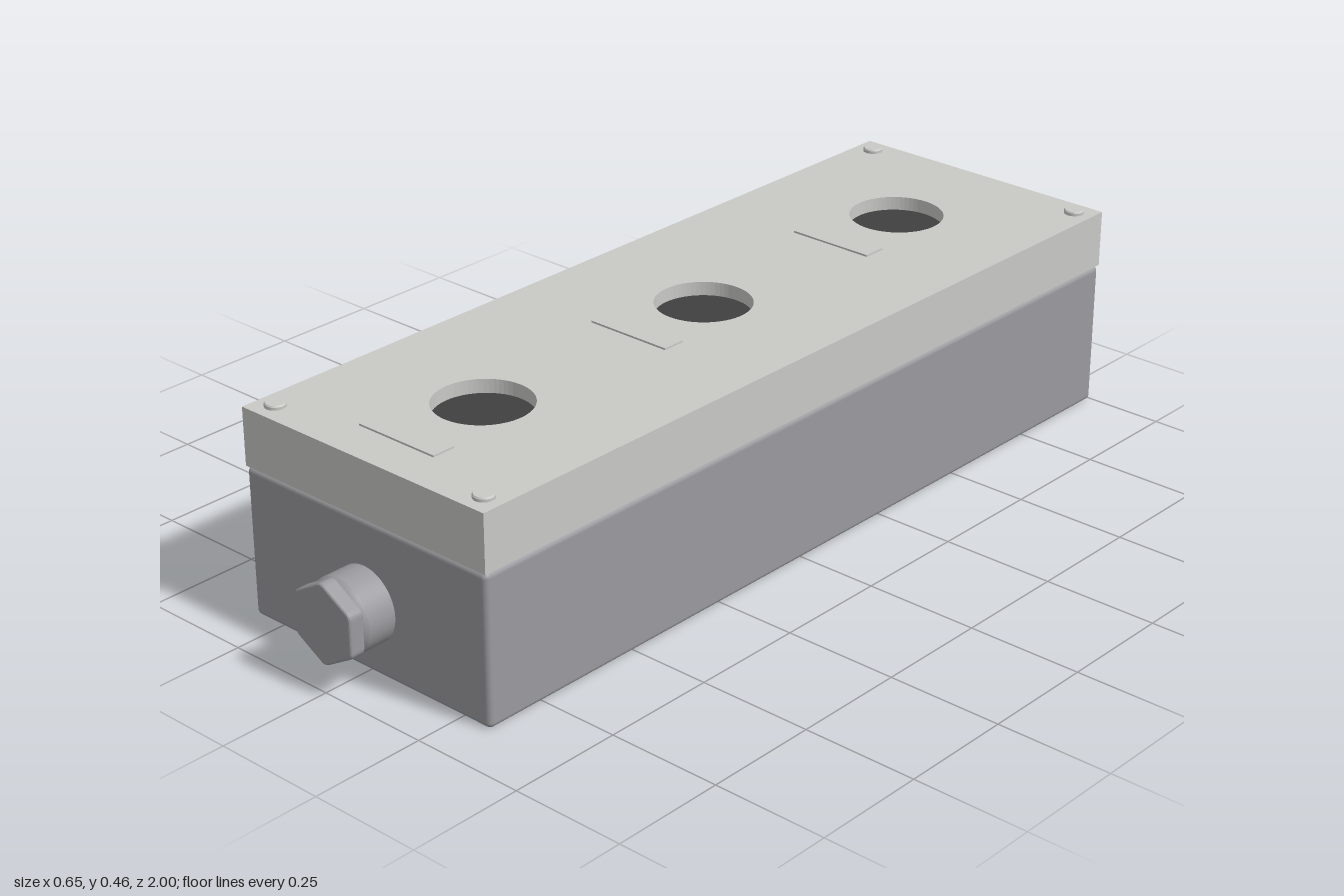
import * as THREE from 'three';
import { RoundedBoxGeometry } from 'three/addons/geometries/RoundedBoxGeometry.js';

const mat = (name, color) => {
  const m = new THREE.MeshStandardMaterial({ color });
  m.name = name;
  return m;
};

export function createModel() {
  const group = new THREE.Group();
  group.name = 'controlBox';
  const bodyGrey = mat('bodyGrey', 0x9b9b9f);
  const lidGrey = mat('lidGrey', 0xc9c9c6);
  const holeDark = mat('holeDark', 0x404040);

  const add = (name, geometry, material, x = 0, y = 0, z = 0) => {
    const mesh = new THREE.Mesh(geometry, material);
    mesh.name = name;
    mesh.position.set(x, y, z);
    group.add(mesh);
    return mesh;
  };

  const halfW = 0.324, back = -1, front = 0.89, lidBase = 0.325, lidTop = 0.45;
  const holeZ = [-0.69, -0.06, 0.57];
  const holeR = 0.102;

  // Lower housing with softly rounded edges
  add('housing', new RoundedBoxGeometry(halfW * 2, lidBase - 0.001, front - back, 4, 0.012),
    bodyGrey, 0, lidBase / 2, (front + back) / 2);

  // Lid with three button holes
  const outline = new THREE.Shape();
  outline.moveTo(-halfW, -front);
  outline.lineTo(halfW, -front);
  outline.lineTo(halfW, -back);
  outline.lineTo(-halfW, -back);
  outline.closePath();
  for (const z of holeZ) {
    outline.holes.push(new THREE.Path().absarc(0, -z, holeR, 0, Math.PI * 2, true));
  }
  const lid = new THREE.ExtrudeGeometry(outline,
    { depth: lidTop - lidBase, bevelEnabled: false, curveSegments: 32 });
  lid.rotateX(-Math.PI / 2);
  add('lid', lid, lidGrey, 0, lidBase, 0);

  // Dark hole floors and raised label plates in front of each hole
  for (const z of holeZ) {
    const floor = new THREE.CircleGeometry(holeR, 64);
    floor.rotateX(-Math.PI / 2);
    add('holeFloor', floor, holeDark, 0, lidTop - 0.03, z);
    add('labelPlate', new THREE.BoxGeometry(0.2, 0.004, 0.053), lidGrey, 0, lidTop + 0.002, z + 0.2);
  }

  // Corner screws with a small edge chamfer
  const screw = new THREE.LatheGeometry([
    [0.022, -0.005], [0.022, 0.006], [0.022, 0.006], [0.02, 0.009], [0.02, 0.009], [0, 0.009],
  ].map(([r, y]) => new THREE.Vector2(r, y)), 24);
  for (const x of [-0.28, 0.28]) {
    for (const z of [-0.957, 0.845]) add('lidScrew', screw, lidGrey, x, lidTop, z);
  }

  // Cable gland: round collar
  const glandY = 0.146;
  const collar = new THREE.LatheGeometry([
    [0.08, 0], [0.08, 0.065], [0.08, 0.065], [0.077, 0.073], [0.073, 0.077], [0.073, 0.077], [0, 0.077],
  ].map(([r, y]) => new THREE.Vector2(r, y)), 48);
  collar.rotateX(Math.PI / 2);
  add('glandCollar', collar, bodyGrey, 0, glandY, front - 0.001);

  // Cable gland: hexagonal cap with rounded corners, a point upwards
  const hex = new THREE.Shape();
  const corner = (i) => {
    const a = Math.PI / 2 + i * Math.PI / 3;
    return new THREE.Vector2(Math.cos(a), Math.sin(a)).multiplyScalar(0.0835);
  };
  for (let i = 0; i < 6; i++) {
    const c = corner(i);
    const a = c.clone().lerp(corner(i - 1), 0.1);
    const b = c.clone().lerp(corner(i + 1), 0.1);
    if (i === 0) hex.moveTo(a.x, a.y);
    else hex.lineTo(a.x, a.y);
    hex.quadraticCurveTo(c.x, c.y, b.x, b.y);
  }
  hex.closePath();
  const cap = new THREE.ExtrudeGeometry(hex, {
    depth: 0.024, bevelThickness: 0.006, bevelSize: 0.005, bevelSegments: 3, curveSegments: 4,
  });
  add('glandCap', cap, bodyGrey, 0, glandY, 0.97);

  return group;
}
